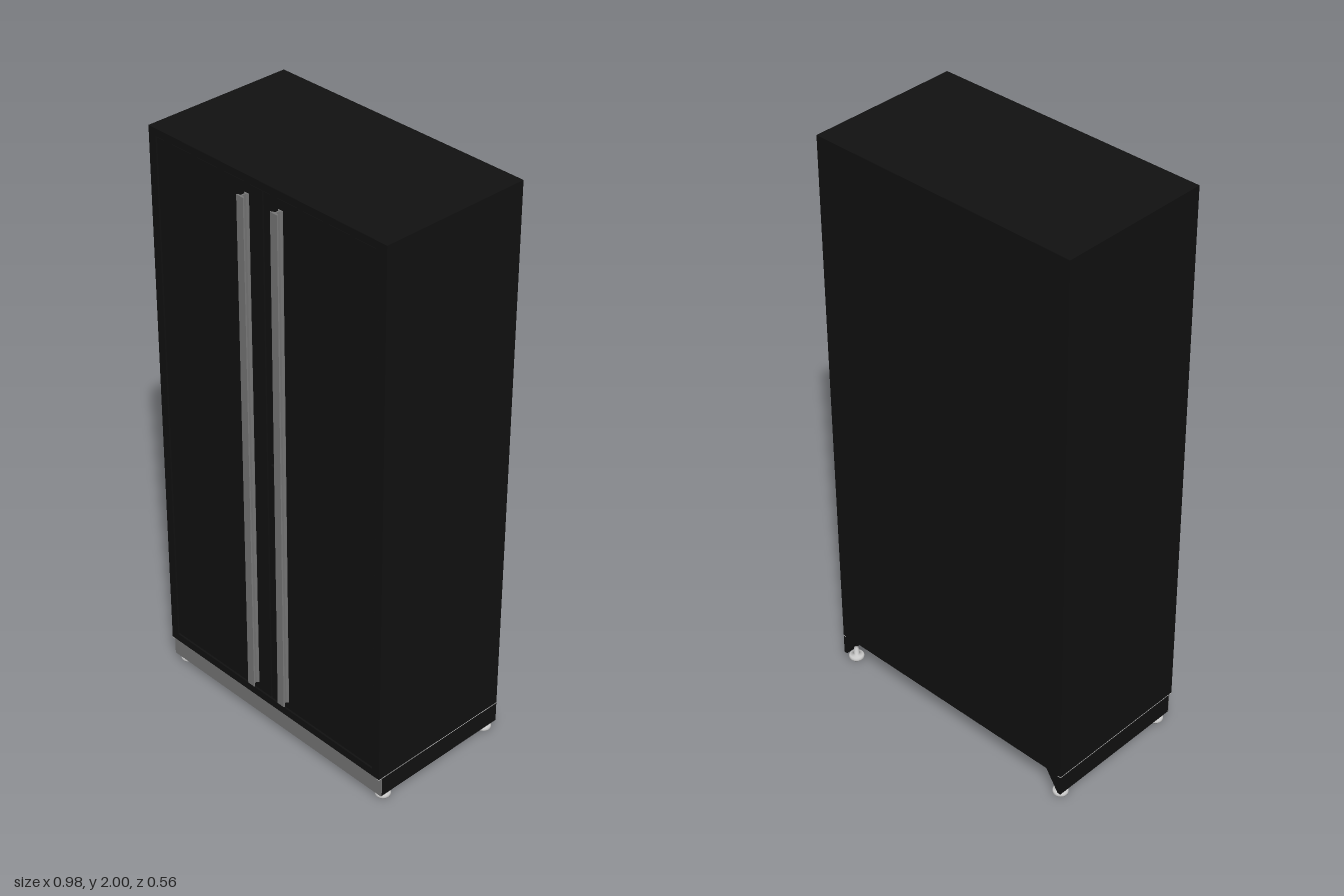
import * as THREE from 'three';

const black = new THREE.MeshStandardMaterial({ color: 0x111111 });
const steel = new THREE.MeshStandardMaterial({ color: 0x777777 });
const grey = new THREE.MeshStandardMaterial({ color: 0xcccccc });

// Box given by its minimum and maximum corners
function box(name, mat, x0, x1, y0, y1, z0, z1) {
  const mesh = new THREE.Mesh(new THREE.BoxGeometry(x1 - x0, y1 - y0, z1 - z0), mat);
  mesh.position.set((x0 + x1) / 2, (y0 + y1) / 2, (z0 + z1) / 2);
  mesh.name = name;
  return mesh;
}

// Shape from a list of points
const shapeOf = (pts) => new THREE.Shape(pts.map(([x, y]) => new THREE.Vector2(x, y)));

export function createModel() {
  const model = new THREE.Group();
  model.name = 'cabinet';
  const W = 0.49, BACK = -0.28, FRONT = 0.255, BASE = 0.1, TOP = 2;

  // Carcass panels
  const carcass = new THREE.Group();
  carcass.name = 'carcass';
  carcass.add(
    box('sidePanelLeft', black, W - 0.03, W, BASE, TOP, BACK, FRONT),
    box('sidePanelRight', black, -W, -W + 0.03, BASE, TOP, BACK, FRONT),
    box('topPanel', black, -W + 0.03, W - 0.03, TOP - 0.025, TOP, BACK, FRONT),
    box('bottomPanel', black, -W + 0.03, W - 0.03, BASE, BASE + 0.028, BACK, FRONT),
    box('backPanel', black, -W + 0.03, W - 0.03, BASE + 0.028, TOP - 0.025, BACK, BACK + 0.01)
  );
  model.add(carcass);

  // Inset doors, a stop strip behind their seam and the lock
  model.add(
    box('doorLeft', black, 0, 0.457, 0.132, 1.972, 0.232, 0.252),
    box('doorRight', black, -0.457, -0.006, 0.132, 1.972, 0.232, 0.252),
    box('doorStop', black, -0.03, 0.03, 0.13, 1.974, 0.222, 0.231)
  );
  const lock = new THREE.Mesh(new THREE.CylinderGeometry(0.008, 0.008, 0.012, 20), black);
  lock.name = 'lock';
  lock.rotation.x = Math.PI / 2;
  lock.position.set(0.022, 1.05, 0.254);
  model.add(lock);

  // Full-height handles: mounting flange, thin web and curled grip
  const half = [[0.009, 0.252], [0.009, 0.2545], [0.003, 0.258], [0.0025, 0.272],
    [0.012, 0.274], [0.016, 0.277], [0.014, 0.28]];
  const profile = shapeOf([
    ...half.map(([x, z]) => [x, -z]),
    ...half.slice().reverse().map(([x, z]) => [-x, -z])
  ]);
  const handleGeo = new THREE.ExtrudeGeometry(profile, { depth: 1.78, bevelEnabled: false });
  handleGeo.rotateX(-Math.PI / 2);
  for (const s of [1, -1]) {
    const handle = new THREE.Mesh(handleGeo, steel);
    handle.name = s > 0 ? 'handleLeft' : 'handleRight';
    handle.position.set(s * 0.07, 0.16, 0);
    model.add(handle);
  }

  // Plinth: front kick plate, thin sides and sloped corner gussets
  const plinth = new THREE.Group();
  plinth.name = 'plinth';
  plinth.add(box('kickPlate', steel, -W, W, 0.025, BASE, 0.241, 0.245));
  for (const s of [1, -1]) {
    const outer = s * W, inner = s * (W - 0.012);
    const [a, b] = [Math.min(outer, inner), Math.max(outer, inner)];
    plinth.add(box('plinthSide', black, a, b, 0.025, BASE - 0.003, BACK, 0.241));
    plinth.add(box('trimStrip', grey, a, b, BASE - 0.003, BASE, BACK, FRONT));
    const gusset = shapeOf([[inner, 0.025], [inner, BASE], [s * (W - 0.06), BASE]]);
    const gussetGeo = new THREE.ExtrudeGeometry(gusset, { depth: 0.012, bevelEnabled: false });
    for (const z of [BACK, 0.229]) {
      const mesh = new THREE.Mesh(gussetGeo, black);
      mesh.name = 'cornerGusset';
      mesh.position.z = z;
      plinth.add(mesh);
    }
  }
  model.add(plinth);

  // Adjustable feet
  const footProfile = [[0, 0], [0.025, 0], [0.026, 0.003], [0.026, 0.009], [0.023, 0.012],
    [0.008, 0.013], [0.008, 0.04], [0, 0.04]].map(([r, y]) => new THREE.Vector2(r, y));
  const footGeo = new THREE.LatheGeometry(footProfile, 24);
  for (const x of [-0.464, 0.464]) {
    for (const z of [-0.25, 0.21]) {
      const foot = new THREE.Mesh(footGeo, grey);
      foot.name = 'foot';
      foot.position.set(x, 0, z);
      model.add(foot);
    }
  }
  return model;
}
